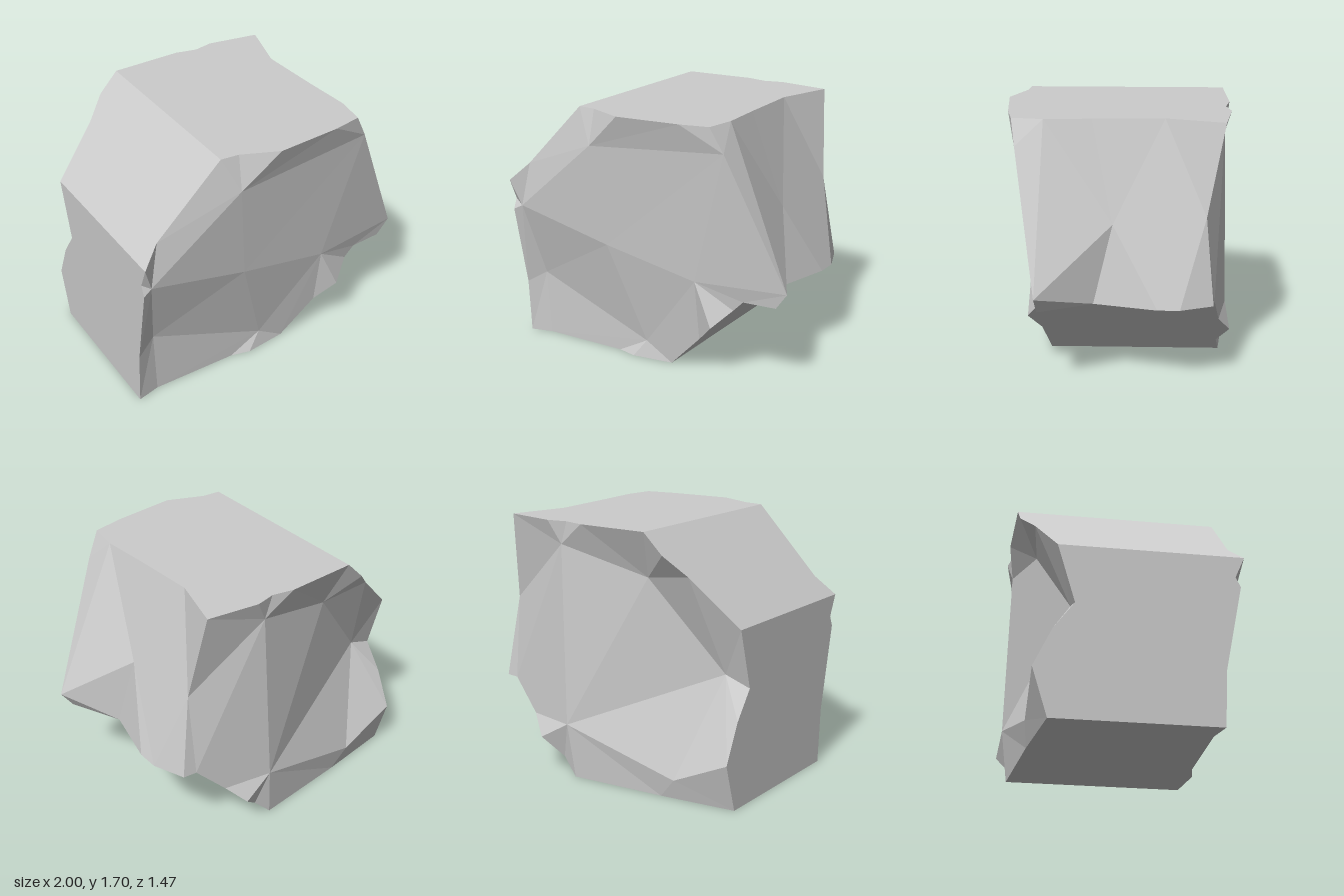
import * as THREE from 'three';

// Broken front: outline (0-20, anticlockwise from bottom left), then inner points (21-26)
const front = [
  [-1, 0, .52], [-.85, 0, .48], [-.27, 0, .47], [-.14, 0, .5], [.14, 0, .46],
  [.51, .377, .58], [.63, .499, .5], [.7, .57, .5], [.92, .57, .48], [1, .68, .49],
  [.625, 1.54, .625], [.54, 1.7, .65], [.35, 1.7, .69], [-.08, 1.7, .73], [-.32, 1.7, .63],
  [-.44, 1.7, .62], [-.88, 1.26, .61], [-1, 1.14, .68], [-1, 1, .62], [-1, .93, .65], [-1, .37, .54],
  [-.94, .96, .635], [-.87, .45, .49], [.38, .66, .56], [-.05, .12, .47], [-.26, .8, .61], [-.33, 1.47, .68],
];

// Broken back: outline (27-46), then inner points (47-51)
const back = [
  [-1, 0, -.52], [-.5, 0, -.6], [.14, 0, -.68], [.25, .112, -.66], [.38, .244, -.74],
  [.5, .366, -.66], [.7, .57, -.62], [.79, .57, -.61], [.71, 1.12, -.56], [.64, 1.7, -.67],
  [.3, 1.7, -.72], [.17, 1.7, -.69], [.03, 1.7, -.72], [-.44, 1.7, -.7], [-.57, 1.57, -.69],
  [-.7, 1.44, -.6], [-1, 1.14, -.48], [-1, .75, -.37], [-1, .57, -.5], [-1, .32, -.615],
  [.22, 1.55, -.685], [.175, .366, -.717], [-.83, .81, -.38], [-.37, 1.39, -.56], [-.61, .135, -.62],
];

// Broken +x side: top edge (52-54), ledge edge (55-57), hollow (58), lower front lip (59)
const side = [
  [.57, 1.7, .45], [.55, 1.7, .15], [.53, 1.7, -.3],
  [.77, .57, .14], [.87, .57, -.26], [.87, .57, -.4], [.71, 1.07, .02], [.38, .244, .5],
];

const points = [...front, ...back, ...side].map((p) => new THREE.Vector3(...p));

// Triangles from fans: the first index is the hub, the rest its neighbours in order
function fanTriangles(fans) {
  return fans.flatMap(([hub, ...ring]) => ring.slice(1).map((p, i) => [hub, ring[i], p]));
}

// Triangles of a flat loop, flattened along its normal
function loopTriangles(loop, normal) {
  const u = new THREE.Vector3(0, 0, 1);
  const v = normal.clone().cross(u);
  const flat = loop.map((i) => new THREE.Vector2(points[i].dot(u), points[i].dot(v)));
  return THREE.ShapeUtils.triangulateShape(flat, []).map((t) => t.map((k) => loop[k]));
}

// Faceted mesh whose triangles all turn towards the given outward direction
function facetMesh(name, triangles, outward) {
  const corners = [];
  for (const [a, b, c] of triangles) {
    const ab = points[b].clone().sub(points[a]);
    const ac = points[c].clone().sub(points[a]);
    const order = ab.cross(ac).dot(outward) < 0 ? [a, c, b] : [a, b, c];
    corners.push(...order.map((i) => points[i]));
  }
  const geometry = new THREE.BufferGeometry().setFromPoints(corners);
  geometry.computeVertexNormals();
  const material = new THREE.MeshStandardMaterial({ color: 0xcccccc, flatShading: true });
  const mesh = new THREE.Mesh(geometry, material);
  mesh.name = name;
  return mesh;
}

export function createModel() {
  const group = new THREE.Group();
  group.name = 'rockChunk';

  // Rough broken faces
  const rough = [
    ['roughFront', [0, 0, 1], [
      [25, 23, 10, 26, 21, 22, 24, 23],
      [26, 10, 12, 13, 14, 15, 16, 21],
      [10, 11, 12],
      [21, 16, 17, 18, 19, 20, 22],
      [22, 20, 0, 1, 24],
      [24, 1, 2, 3, 4],
      [23, 24, 4, 59, 5, 6, 7, 9, 10],
      [9, 7, 8],
    ]],
    ['roughBack', [0, 0, -1], [
      [47, 48, 33, 35, 36, 37, 38, 39, 50, 48],
      [33, 34, 35],
      [50, 39, 40, 41, 42, 49, 48],
      [49, 42, 43, 44, 45, 46, 51, 48],
      [48, 51, 28, 29, 30, 31, 32, 33],
      [51, 46, 27, 28],
    ]],
    ['roughSide', [1, 0, 0], [
      [58, 9, 55, 56, 57, 35, 54, 53, 52, 9],
      [9, 8, 55],
      [52, 9, 10, 11],
      [35, 57, 34],
      [35, 36, 54],
    ]],
  ];
  for (const [name, outward, fans] of rough) {
    group.add(facetMesh(name, fanTriangles(fans), new THREE.Vector3(...outward)));
  }

  // Clean flat cuts
  const cuts = [
    ['topCut', [0, 1, 0], [11, 12, 13, 14, 15, 40, 39, 38, 37, 36, 54, 53, 52]],
    ['upperSlope', [-1, 1, 0], [15, 16, 17, 43, 42, 41, 40]],
    ['sideCut', [-1, 0, 0], [17, 18, 19, 20, 0, 27, 46, 45, 44, 43]],
    ['base', [0, -1, 0], [0, 1, 2, 3, 4, 29, 28, 27]],
    ['lowerSlope', [1, -1, 0], [4, 59, 5, 6, 7, 33, 32, 31, 30, 29]],
    ['ledge', [0, -1, 0], [7, 8, 55, 56, 57, 34, 33]],
  ];
  for (const [name, direction, loop] of cuts) {
    const outward = new THREE.Vector3(...direction).normalize();
    group.add(facetMesh(name, loopTriangles(loop, outward), outward));
  }
  return group;
}
